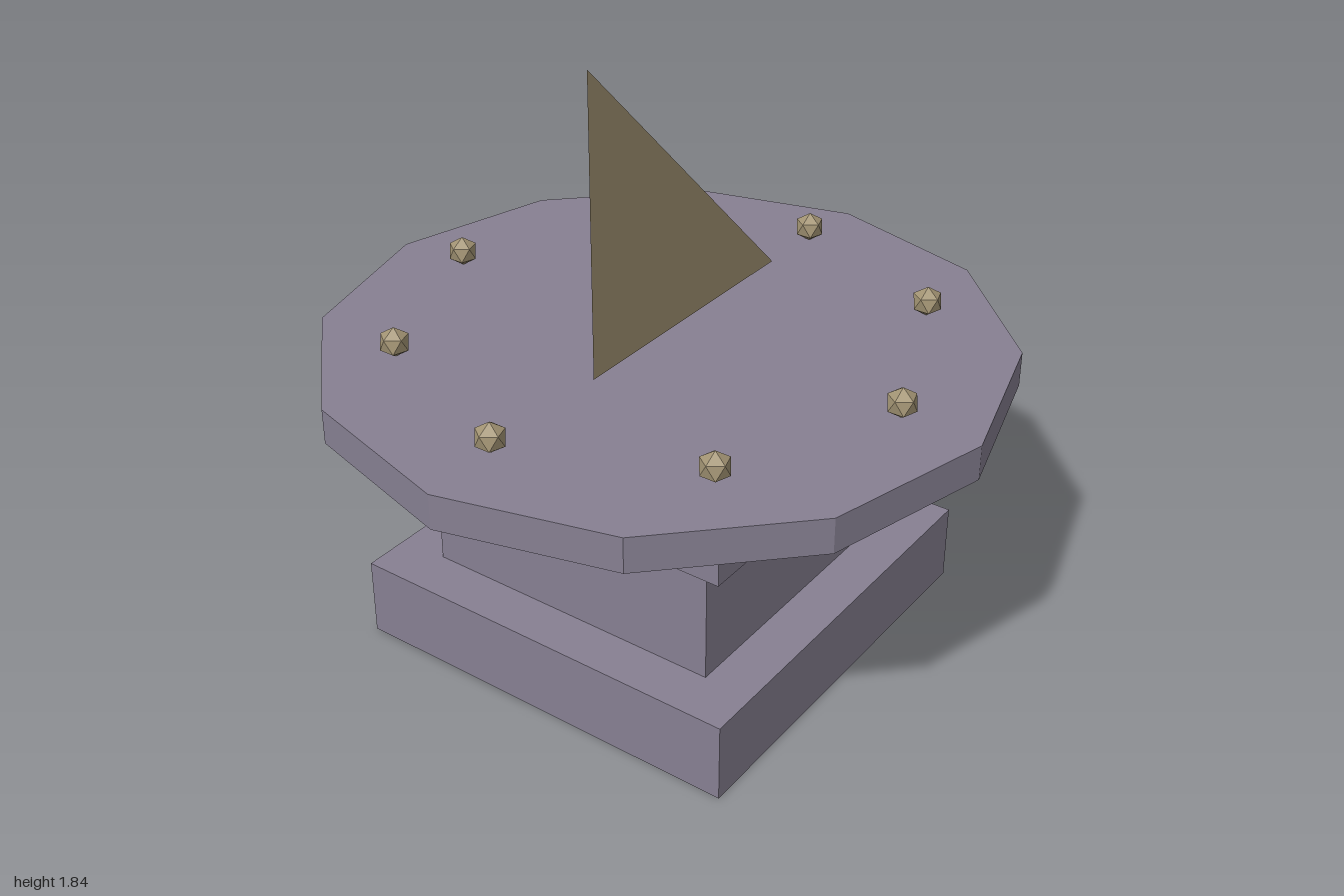
import * as THREE from 'three';

export function createModel() {
  const model = new THREE.Group();
  const stone = new THREE.MeshStandardMaterial({ color: 0x878092 });
  stone.name = 'stone';
  stone.flatShading = true;
  const brass = new THREE.MeshStandardMaterial({ color: 0xa39474 });
  brass.name = 'brass';
  brass.flatShading = true;
  brass.side = THREE.DoubleSide;

  const add = (name, geometry, material, x, y, z) => {
    const mesh = new THREE.Mesh(geometry, material);
    mesh.name = name;
    mesh.position.set(x, y, z);
    model.add(mesh);
    return mesh;
  };

  // Square pedestal: name, width, bottom, top
  const blocks = [
    ['base', 1.25, 0, 0.24],
    ['shaft', 0.95, 0.24, 0.66],
    ['capital', 1.174, 0.66, 0.785],
  ];
  for (const [name, width, bottom, top] of blocks) {
    add(name, new THREE.BoxGeometry(width, top - bottom, width), stone, 0, (bottom + top) / 2, 0);
  }

  // Twelve-sided dial plate, hovering just above the capital
  add('dial', new THREE.CylinderGeometry(1, 1, 0.105, 12), stone, 0, 0.881, 0);

  // Thin triangular gnomon
  const triangle = new THREE.Shape([
    new THREE.Vector2(-0.335, 0.945),
    new THREE.Vector2(0.55, 0.945),
    new THREE.Vector2(-0.335, 1.835),
  ]);
  add('gnomon', new THREE.ShapeGeometry(triangle), brass, 0, 0, 0);

  // Eight hour studs, each an icosahedron standing on a vertex
  const stud = new THREE.IcosahedronGeometry(0.046, 0);
  stud.rotateZ(Math.atan(2 / (1 + Math.sqrt(5))));
  for (let i = 0; i < 8; i++) {
    const a = (i / 8) * Math.PI * 2;
    add('hourStud' + (i + 1), stud, brass, 0.763 * Math.cos(a), 0.979, 0.763 * Math.sin(a));
  }

  return model;
}
